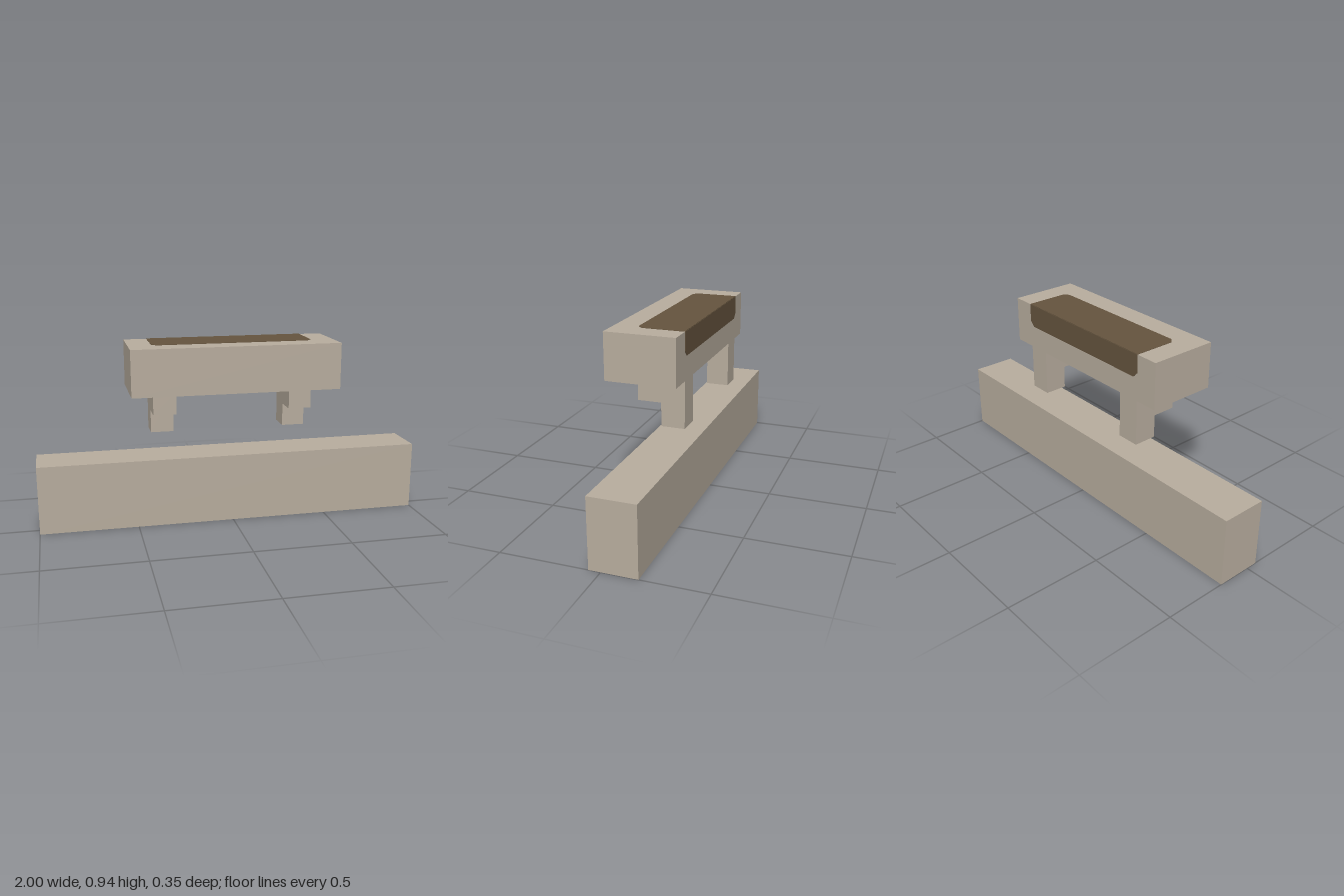
import * as THREE from 'three';

const U = 1 / 17; // modelling unit: the base is 34 units long

export function createModel() {
  const model = new THREE.Group();
  const stone = new THREE.MeshStandardMaterial({ color: 0xb8ad9e });
  stone.name = 'pale stone';
  const brown = new THREE.MeshStandardMaterial({ color: 0x65543e });
  brown.name = 'dark brown';

  // Box given by its min and max corners, in units
  function block(name, [x0, y0, z0], [x1, y1, z1]) {
    const geo = new THREE.BoxGeometry((x1 - x0) * U, (y1 - y0) * U, (z1 - z0) * U);
    const mesh = new THREE.Mesh(geo, stone);
    mesh.position.set((x0 + x1) / 2 * U, (y0 + y1) / 2 * U, (z0 + z1) / 2 * U);
    mesh.name = name;
    model.add(mesh);
  }

  // Thin panel with its two far corners slightly clipped
  function panel(name, length) {
    const w = 7 * U, h = length * U, c = 0.025;
    const shape = new THREE.Shape();
    shape.moveTo(-w, 0);
    shape.lineTo(-w, -h + c);
    shape.lineTo(-w + c, -h);
    shape.lineTo(w - c, -h);
    shape.lineTo(w, -h + c);
    shape.lineTo(w, 0);
    shape.closePath();
    const geo = new THREE.ExtrudeGeometry(shape, { depth: 0.002, bevelEnabled: false });
    const mesh = new THREE.Mesh(geo, brown);
    mesh.name = name;
    model.add(mesh);
    return mesh;
  }

  block('base', [-17, 0, -3], [17, 6, 1]);
  block('upperBlock', [-9, 12, -3], [9, 16, 3]);

  // Stepped legs: a tall back post and a short bracket in front
  for (const [side, x] of [['left', 5], ['right', -7]]) {
    block(side + 'LegPost', [x, 8, -3], [x + 2, 12, -1]);
    block(side + 'LegBracket', [x, 10, -1], [x + 2, 12, 1]);
  }

  // Dark patch folding over the back edge of the upper block
  const top = panel('topPatch', 4);
  top.rotation.x = -Math.PI / 2;
  top.position.set(0, 16 * U, -3 * U);
  const back = panel('backPatch', 2);
  back.rotation.y = Math.PI;
  back.position.set(0, 16 * U, -3 * U);

  return model;
}
